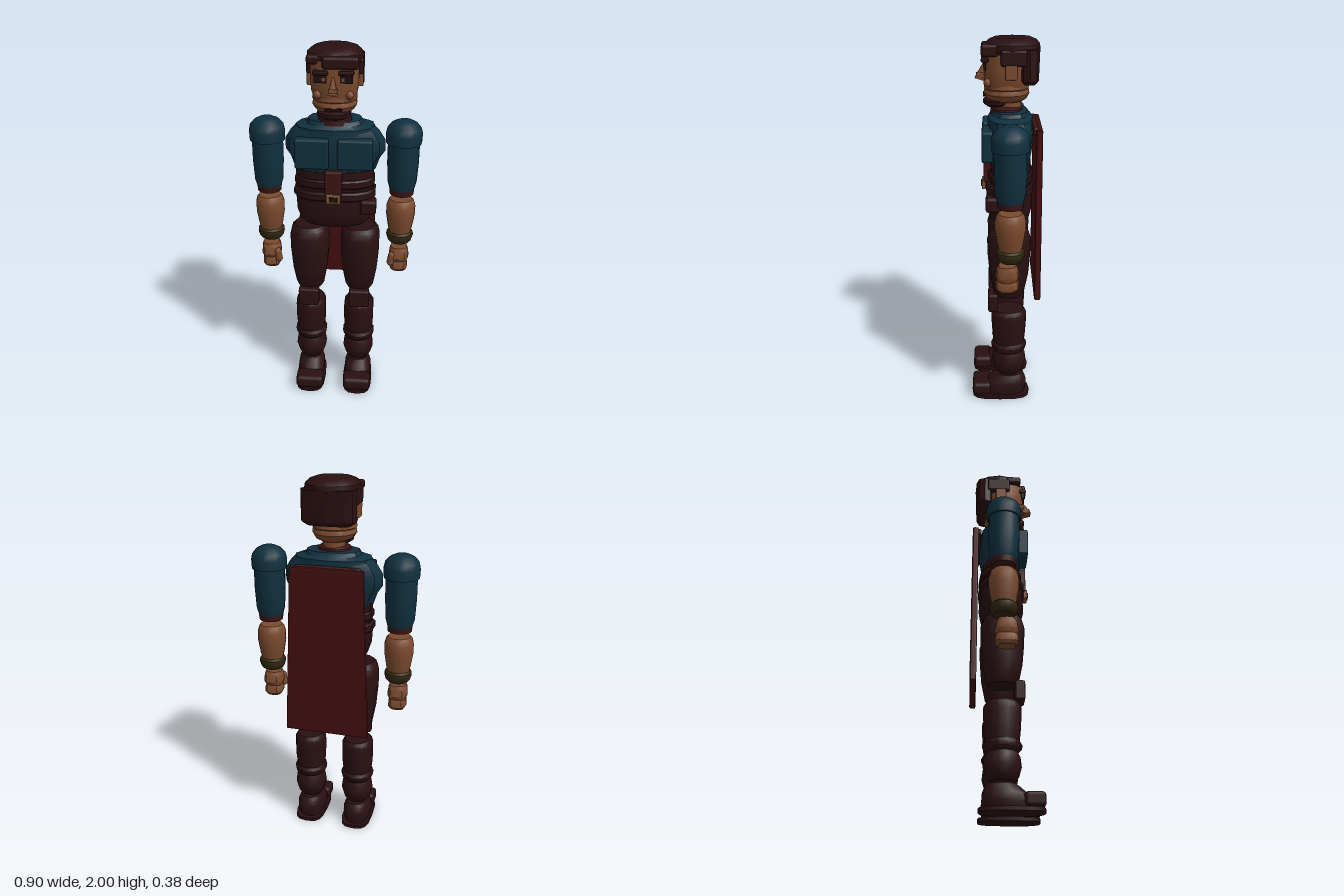
import * as THREE from 'three';
import { toCreasedNormals } from 'three/addons/utils/BufferGeometryUtils.js';
import { RoundedBoxGeometry } from 'three/addons/geometries/RoundedBoxGeometry.js';

const paint = (name, color) => {
  const m = new THREE.MeshStandardMaterial({ color });
  m.name = name;
  return m;
};

// Closed solid from horizontal superelliptic rings [y, rx, rz, cz], bottom to top
function loft(rings, sides = 14, power = 2) {
  const pos = [], idx = [];
  const bend = v => Math.sign(v) * Math.pow(Math.abs(v), 2 / power);
  for (const [y, rx, rz, cz = 0] of rings) {
    for (let i = 0; i < sides; i++) {
      const a = (i / sides) * Math.PI * 2;
      pos.push(rx * bend(Math.sin(a)), y, cz + rz * bend(Math.cos(a)));
    }
  }
  const n = rings.length, low = n * sides, high = low + 1;
  const first = rings[0], last = rings[n - 1];
  pos.push(0, first[0], first[3] || 0, 0, last[0], last[3] || 0);
  for (let i = 0; i < sides; i++) {
    const j = (i + 1) % sides;
    for (let r = 0; r < n - 1; r++) {
      const a = r * sides + i, b = r * sides + j;
      idx.push(a, b, b + sides, a, b + sides, a + sides);
    }
    idx.push(low, j, i, high, (n - 1) * sides + i, (n - 1) * sides + j);
  }
  const g = new THREE.BufferGeometry();
  g.setAttribute('position', new THREE.Float32BufferAttribute(pos, 3));
  g.setIndex(idx);
  return toCreasedNormals(g, 0.6);
}

export function createModel() {
  const model = new THREE.Group();
  model.name = 'figure';
  const blue = paint('blue cloth', 0x10303f);
  const dark = paint('dark leather', 0x2a1012);
  const hairCol = paint('dark hair', 0x2a0f11);
  const strapCol = paint('red brown strap', 0x3a1413);
  const skin = paint('skin', 0x7b4a2e);
  const red = paint('red cloth', 0x430e11);
  const olive = paint('olive band', 0x30270f);
  const brass = paint('brass', 0x80552f);
  const black = paint('dark detail', 0x1c0d0c);

  const add = (parent, name, geo, mat, x = 0, y = 0, z = 0) => {
    const m = new THREE.Mesh(geo, mat);
    m.name = name;
    m.position.set(x, y, z);
    parent.add(m);
    return m;
  };
  const solid = (parent, name, mat, x, z, rings, sides, power) =>
    add(parent, name, loft(rings, sides, power), mat, x, 0, z);
  // Rounded box given by its limits
  const block = (parent, name, mat, [x0, x1], [y0, y1], [z0, z1], r = 0.01) => {
    const w = x1 - x0, h = y1 - y0, d = z1 - z0;
    const g = r ? new RoundedBoxGeometry(w, h, d, 2, r) : new THREE.BoxGeometry(w, h, d);
    return add(parent, name, g, mat, (x0 + x1) / 2, (y0 + y1) / 2, (z0 + z1) / 2);
  };
  const group = name => {
    const g = new THREE.Group();
    g.name = name;
    model.add(g);
    return g;
  };

  // Torso, waist and belts
  const body = group('body');
  solid(body, 'chest', blue, 0, -0.03, [
    [1.36, 0.215, 0.105], [1.42, 0.235, 0.115], [1.46, 0.262, 0.12], [1.52, 0.262, 0.12],
    [1.57, 0.23, 0.118], [1.6, 0.2, 0.11]], 12, 2.4);
  solid(body, 'yoke', blue, 0, -0.03, [
    [1.57, 0.21, 0.12], [1.6, 0.205, 0.118], [1.615, 0.15, 0.1], [1.635, 0.14, 0.09]], 12, 2.4);
  block(body, 'rightChestPanel', blue, [-0.2, -0.025], [1.4, 1.56], [0.06, 0.118], 0.012);
  block(body, 'leftChestPanel', blue, [0.02, 0.2], [1.4, 1.56], [0.06, 0.118], 0.012);
  solid(body, 'waist', dark, 0, -0.03, [
    [1.2, 0.21, 0.11], [1.28, 0.205, 0.11], [1.37, 0.212, 0.108]], 14, 2.6);
  solid(body, 'upperBelt', dark, 0, -0.03, [
    [1.275, 0.205, 0.115], [1.285, 0.216, 0.122], [1.315, 0.216, 0.122], [1.325, 0.205, 0.115]], 14, 2.6);
  solid(body, 'belt', dark, 0, -0.025, [
    [1.21, 0.21, 0.12], [1.22, 0.222, 0.13], [1.25, 0.222, 0.13], [1.26, 0.21, 0.12]], 14, 2.6);
  solid(body, 'pelvis', dark, 0, -0.025, [
    [1.05, 0.155, 0.09], [1.07, 0.185, 0.11], [1.13, 0.205, 0.125], [1.21, 0.21, 0.12]], 14, 2.6);
  block(body, 'frontStrap', strapCol, [-0.045, 0.045], [1.25, 1.385], [0.06, 0.112], 0.008);
  block(body, 'pouch', dark, [0.14, 0.225], [1.14, 1.22], [0.02, 0.1], 0.015);
  block(body, 'buckle', brass, [-0.038, 0.038], [1.21, 1.262], [0.1, 0.122], 0.005);
  block(body, 'buckleCentre', black, [-0.022, 0.022], [1.223, 1.249], [0.121, 0.127], 0);
  solid(body, 'collar', strapCol, 0, -0.01, [
    [1.62, 0.09, 0.085], [1.645, 0.088, 0.082], [1.655, 0.07, 0.07]]);

  // Head
  const head = group('head');
  solid(head, 'neck', skin, 0, -0.025, [[1.62, 0.06, 0.06], [1.72, 0.06, 0.06]]);
  solid(head, 'skull', skin, 0, -0.01, [
    [1.74, 0.1, 0.105], [1.79, 0.118, 0.115], [1.86, 0.124, 0.118], [1.95, 0.12, 0.115]], 14, 2.6);
  solid(head, 'jaw', skin, 0, -0.01, [
    [1.68, 0.07, 0.08], [1.695, 0.1, 0.105], [1.72, 0.115, 0.118], [1.74, 0.112, 0.115], [1.765, 0.09, 0.1]]);
  solid(head, 'upperJaw', skin, 0, -0.01, [
    [1.735, 0.1, 0.105], [1.75, 0.116, 0.116], [1.775, 0.112, 0.112]]);
  solid(head, 'chinBeard', hairCol, 0, 0.045, [
    [1.655, 0.06, 0.045], [1.67, 0.085, 0.065], [1.69, 0.088, 0.066], [1.7, 0.06, 0.05]]);
  block(head, 'mouth', black, [-0.042, 0.042], [1.708, 1.722], [0.1, 0.11], 0);
  const nose = add(head, 'nose', new THREE.CylinderGeometry(0.006, 0.034, 0.09, 4, 1, false, Math.PI / 4), skin, 0, 1.835, 0.115);
  nose.geometry.translate(0, 0, 0);
  nose.rotation.x = -0.3;
  block(head, 'noseTip', skin, [-0.022, 0.022], [1.795, 1.825], [0.1, 0.145], 0.006);
  for (const s of [-1, 1]) {
    const side = s < 0 ? 'right' : 'left';
    const span = (a, b) => (s > 0 ? [a, b] : [-b, -a]);
    block(head, side + 'EyeSocket', black, span(0.032, 0.095), [1.848, 1.885], [0.092, 0.106], 0);
    block(head, side + 'Eye', skin, span(0.04, 0.055), [1.858, 1.874], [0.1, 0.109], 0);
    block(head, side + 'Brow', hairCol, span(0.025, 0.1), [1.888, 1.908], [0.08, 0.118], 0.005);
    add(head, side + 'Cheek', new THREE.SphereGeometry(0.022, 10, 8), skin, s * 0.08, 1.785, 0.085);
    block(head, side + 'Ear', skin, span(0.11, 0.142), [1.805, 1.88], [-0.062, -0.003], 0.008);
    block(head, side + 'SideHair', hairCol, span(0.1, 0.142), [1.87, 1.95], [-0.11, 0.02], 0.012);
  }
  solid(head, 'hairCap', hairCol, 0, -0.04, [
    [1.925, 0.135, 0.13], [1.94, 0.143, 0.142], [1.97, 0.141, 0.138], [1.99, 0.118, 0.12], [2.0, 0.09, 0.095]], 12, 2.3);
  solid(head, 'backHair', hairCol, 0, -0.125, [
    [1.775, 0.11, 0.035], [1.795, 0.142, 0.05], [1.95, 0.143, 0.055]], 12, 3);
  block(head, 'fringe', hairCol, [-0.055, 0.122], [1.915, 1.975], [0.03, 0.118], 0.014);
  block(head, 'fringeSide', hairCol, [-0.135, -0.04], [1.93, 1.975], [0, 0.085], 0.014);

  // Cape: a thin plate that widens downward
  const cape = group('cape');
  const cloth = new THREE.Shape([[-0.222, 0.65], [0.222, 0.65], [0.185, 1.56], [-0.185, 1.56]]
    .map(([x, y]) => new THREE.Vector2(x, y)));
  add(cape, 'capeCloth', new THREE.ExtrudeGeometry(cloth, {
    depth: 0.018, bevelEnabled: true, bevelThickness: 0.008, bevelSize: 0.008, bevelSegments: 2 }), red, 0, 0, -0.183);
  block(cape, 'capeYoke', strapCol, [-0.175, 0.175], [1.535, 1.575], [-0.17, -0.143], 0.01);

  // Arms and legs, one of each per side
  for (const s of [-1, 1]) {
    const side = s < 0 ? 'right' : 'left';
    const arm = group(side + 'Arm'), ax = s * 0.357, az = -0.025;
    const round = rows => rows.map(([y, r]) => [y, r, r]);
    solid(arm, 'shoulder', blue, ax, az, round([
      [1.51, 0.093], [1.56, 0.095], [1.59, 0.088], [1.615, 0.066], [1.63, 0.035]]), 16);
    solid(arm, 'sleeve', blue, ax, az, round([
      [1.25, 0.066], [1.29, 0.077], [1.4, 0.083], [1.52, 0.083]]), 16);
    solid(arm, 'cuff', strapCol, ax, az, round([[1.222, 0.064], [1.255, 0.067]]), 16);
    solid(arm, 'forearm', skin, ax, az, round([
      [0.985, 0.057], [1.03, 0.067], [1.1, 0.078], [1.15, 0.078], [1.18, 0.07], [1.192, 0.06]]), 16);
    solid(arm, 'wristband', olive, ax, az, round([
      [0.935, 0.055], [0.95, 0.067], [0.975, 0.074], [0.99, 0.072], [1.0, 0.06]]), 16);
    solid(arm, 'palm', skin, ax, -0.01, [
      [0.825, 0.045, 0.05], [0.85, 0.055, 0.062], [0.89, 0.052, 0.055], [0.91, 0.045, 0.045]], 12, 2.6);
    solid(arm, 'fingers', skin, ax, -0.01, [
      [0.768, 0.04, 0.045], [0.785, 0.05, 0.06], [0.815, 0.048, 0.06], [0.835, 0.04, 0.05]], 12, 2.8);
    const thumb = add(arm, 'thumb', new THREE.CapsuleGeometry(0.02, 0.045, 4, 10), skin, ax - s * 0.042, 0.845, 0.03);
    thumb.rotation.z = s * -0.15;

    const leg = group(side + 'Leg'), lx = s * 0.14, lz = -0.022;
    solid(leg, 'thigh', dark, lx, lz, [
      [0.64, 0.07, 0.072], [0.66, 0.08, 0.085], [0.76, 0.098, 0.105], [0.88, 0.108, 0.115],
      [0.97, 0.109, 0.117], [1.01, 0.1, 0.105], [1.03, 0.08, 0.085]], 14, 2.3);
    block(leg, 'kneePad', dark, s > 0 ? [0.085, 0.2] : [-0.2, -0.085], [0.55, 0.655], [0.038, 0.092], 0.012);
    solid(leg, 'shin', dark, lx, lz, [
      [0.33, 0.078, 0.085], [0.4, 0.086, 0.092], [0.5, 0.087, 0.098], [0.53, 0.085, 0.095], [0.55, 0.072, 0.08]], 14, 2.2);
    solid(leg, 'bootRim', dark, lx, lz, [
      [0.29, 0.075, 0.08], [0.31, 0.091, 0.098], [0.33, 0.093, 0.1], [0.35, 0.082, 0.088]]);
    solid(leg, 'bootShaft', dark, lx, lz, [
      [0.15, 0.06, 0.065], [0.17, 0.076, 0.082], [0.22, 0.09, 0.096], [0.27, 0.083, 0.09], [0.3, 0.07, 0.075]]);
    solid(leg, 'foot', dark, lx, 0, [
      [0.02, 0.072, 0.125, 0.01], [0.05, 0.08, 0.125, 0.003], [0.09, 0.078, 0.112, -0.008],
      [0.12, 0.066, 0.09, -0.02], [0.137, 0.055, 0.07, -0.025]], 14, 2.4);
    block(leg, 'toeCap', dark, s > 0 ? [0.06, 0.218] : [-0.218, -0.06], [0.02, 0.095], [0.08, 0.185], 0.022);
    solid(leg, 'sole', dark, lx, 0.025, [[0, 0.086, 0.163], [0.02, 0.086, 0.163]], 16, 3.2);
  }
  return model;
}
